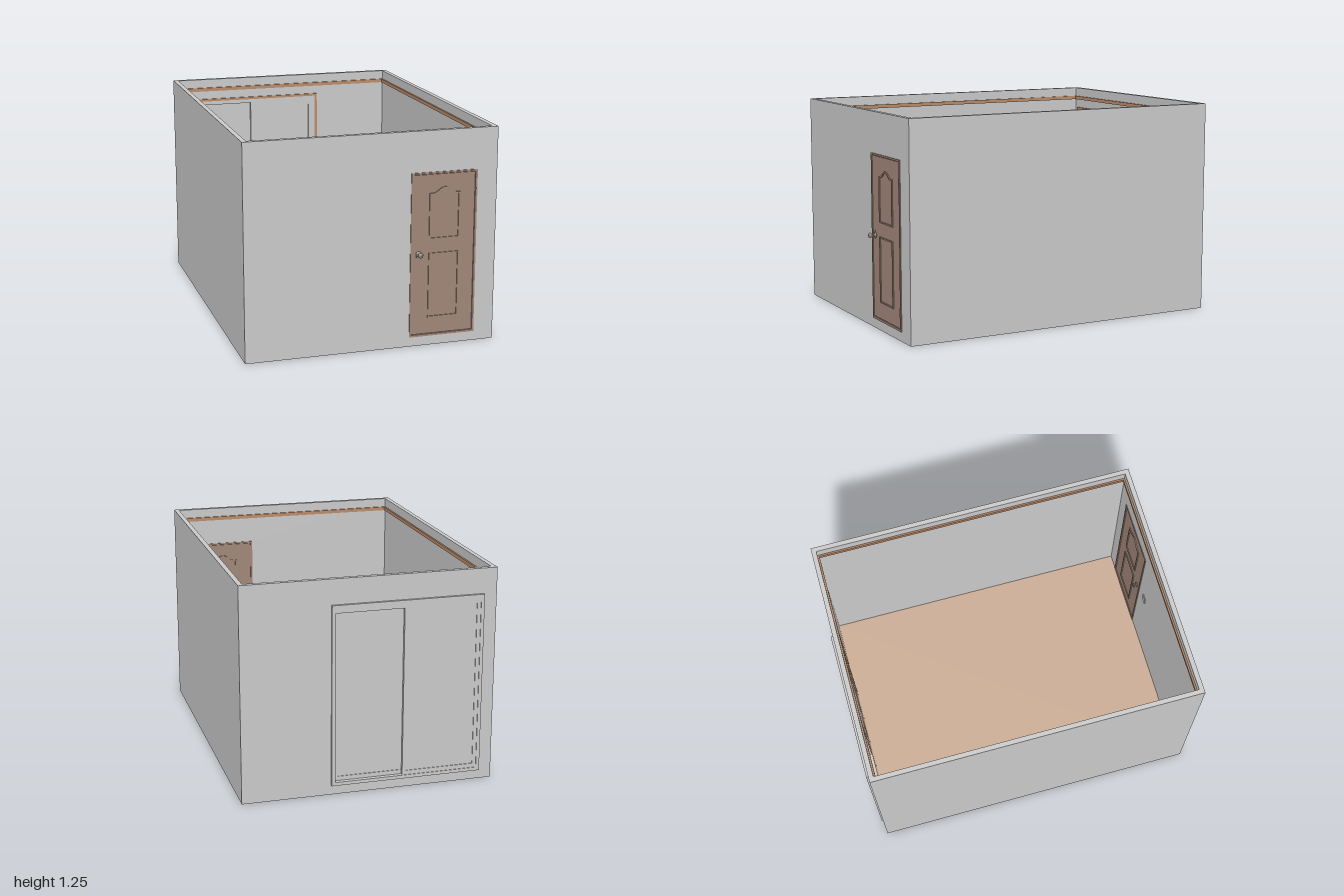
import * as THREE from 'three';

const mat = (name, color, side = THREE.FrontSide) => {
  const m = new THREE.MeshStandardMaterial({ color, side });
  m.name = name;
  return m;
};

export function createModel() {
  const wall = mat('wall grey', 0xc9c9c9);
  const floorTan = mat('floor tan', 0xc9ab94);
  const wood = mat('door brown', 0xa08678);
  const trim = mat('trim brown', 0xb98a68);
  const metal = mat('handle metal', 0x958a82);

  const room = new THREE.Group();
  room.name = 'room';

  const group = (name) => {
    const g = new THREE.Group();
    g.name = name;
    room.add(g);
    return g;
  };
  const add = (parent, name, geo, material) => {
    const m = new THREE.Mesh(geo, material);
    m.name = name;
    parent.add(m);
    return m;
  };
  // box given by its limits on each axis
  const box = (parent, name, material, x0, x1, y0, y1, z0, z1) => {
    const m = add(parent, name, new THREE.BoxGeometry(x1 - x0, y1 - y0, z1 - z0), material);
    m.position.set((x0 + x1) / 2, (y0 + y1) / 2, (z0 + z1) / 2);
    return m;
  };
  const trace = (path, pts) => {
    pts.forEach(([x, y], i) => (i ? path.lineTo(x, y) : path.moveTo(x, y)));
    path.closePath();
    return path;
  };
  const rect = (x0, x1, y0, y1) => [[x0, y0], [x1, y0], [x1, y1], [x0, y1]];
  // flat ring: outline with a hole, extruded from z0 to z1
  const ring = (parent, name, material, outer, inner, z0, z1) => {
    const shape = trace(new THREE.Shape(), outer);
    shape.holes.push(trace(new THREE.Path(), inner));
    const geo = new THREE.ExtrudeGeometry(shape, { depth: z1 - z0, bevelEnabled: false });
    const m = add(parent, name, geo, material);
    m.position.z = z0;
    return m;
  };

  const X = 0.73, H = 1.245, T = 0.028, ZB = -0.985, ZF = 0.955;
  const xi = X - T, zb = ZB + T, zf = ZF - T;

  // walls, with openings for the two doors
  const walls = group('walls');
  const doorHole = rect(0.222, 0.612, 0.055, 1.01);
  const slideHole = rect(-0.655, 0.22, 0.055, 1.1);
  ring(walls, 'frontWall', wall, rect(-X, X, 0, H), doorHole, zf, ZF);
  ring(walls, 'backWall', wall, rect(-X, X, 0, H), slideHole, ZB, zb);
  for (const s of [-1, 1]) {
    const c = s * (X - T / 2);
    box(walls, 'sideWall', wall, c - T / 2, c + T / 2, 0, H, zb, zf);
  }

  // floor
  box(room, 'floor', floorTan, -xi, xi, 0, 0.05, zb, zf);

  // moulding around the inside, just under the wall tops
  const crown = ring(room, 'crownMoulding', trim, rect(-xi, xi, -zf, -zb),
    rect(-xi + 0.01, xi - 0.01, -zf + 0.01, -zb - 0.01), 0, 0.022);
  crown.rotation.x = -Math.PI / 2;
  crown.position.set(0, 1.168, 0);

  // hinged front door
  const door = group('frontDoor');
  ring(door, 'doorFrame', wood, doorHole, rect(0.234, 0.6, 0.067, 1.0), zf - 0.004, ZF + 0.005);
  box(door, 'doorLeaf', wood, 0.234, 0.598, 0.07, 0.997, zf + 0.001, ZF + 0.001);

  // panel mouldings on both faces; the upper one has an arched head
  const arched = (inset) => {
    const pts = [[0.33 + inset, 0.625 + inset], [0.51 - inset, 0.625 + inset]];
    for (let i = 0; i <= 16; i++) {
      const u = 1 - i / 8;
      const rise = Math.abs(u) < 0.8 ? 0.0175 * (1 + Math.cos(Math.PI * u / 0.8)) : 0;
      pts.push([0.42 + u * (0.09 - inset), 0.89 - inset + rise]);
    }
    return pts;
  };
  const lower = (i) => rect(0.33 + i, 0.51 - i, 0.165 + i, 0.545 - i);
  for (const z of [zf - 0.005, ZF]) {
    for (const outline of [arched, lower]) {
      ring(door, 'panelMoulding', wood, outline(0), outline(0.008), z, z + 0.007);
    }
  }

  // hinges
  for (const y of [0.88, 0.16]) {
    const hinge = add(door, 'hinge', new THREE.CylinderGeometry(0.004, 0.004, 0.05, 10), metal);
    hinge.position.set(0.601, y, ZF + 0.004);
  }

  // knobs, keeper plates
  const profile = [[0, 0], [0.016, 0], [0.016, 0.004], [0.006, 0.008], [0.005, 0.022],
    [0.013, 0.029], [0.016, 0.036], [0.012, 0.042], [0, 0.044]].map(([r, y]) => new THREE.Vector2(r, y));
  const knob = (name, z, dir, size) => {
    const k = add(door, name, new THREE.LatheGeometry(profile, 20), metal);
    k.rotation.x = dir * Math.PI / 2;
    k.scale.y = size;
    k.position.set(0.27, 0.545, z);
  };
  knob('outerKnob', ZF + 0.001, 1, 1);
  knob('innerKnob', zf + 0.001, -1, 0.6);
  box(door, 'lockPlate', metal, 0.257, 0.264, 0.522, 0.572, ZF, ZF + 0.004);

  // sliding back door: outer frame, inner casing and two staggered panels
  const slide = group('slidingDoor');
  const opening = rect(-0.635, 0.2, 0.075, 1.075);
  ring(slide, 'slidingFrame', wall, slideHole, opening, -1, zb + 0.004);
  ring(slide, 'innerCasing', trim, rect(-0.67, 0.235, 0.05, 1.115), slideHole, zb, zb + 0.009);
  const panel = (name, x0, x1, z) => {
    ring(slide, name + 'Stiles', wall, rect(x0, x1, 0.075, 1.075),
      rect(x0 + 0.022, x1 - 0.022, 0.1, 1.05), z - 0.009, z + 0.009);
    box(slide, name + 'Pane', wall, x0 + 0.022, x1 - 0.022, 0.1, 1.05, z - 0.005, z + 0.005);
  };
  panel('outerPanel', -0.635, -0.193, -0.987);
  panel('innerPanel', -0.22, 0.2, -0.966);
  box(slide, 'topTrack', wall, -0.635, 0.2, 1.055, 1.075, -0.999, -0.996);
  box(slide, 'pullHandle', metal, -0.213, -0.205, 0.5, 0.6, -0.958, -0.945);

  // light switch beside the front door, inside
  box(room, 'lightSwitch', wall, 0.115, 0.155, 0.59, 0.65, zf - 0.006, zf);

  return room;
}
